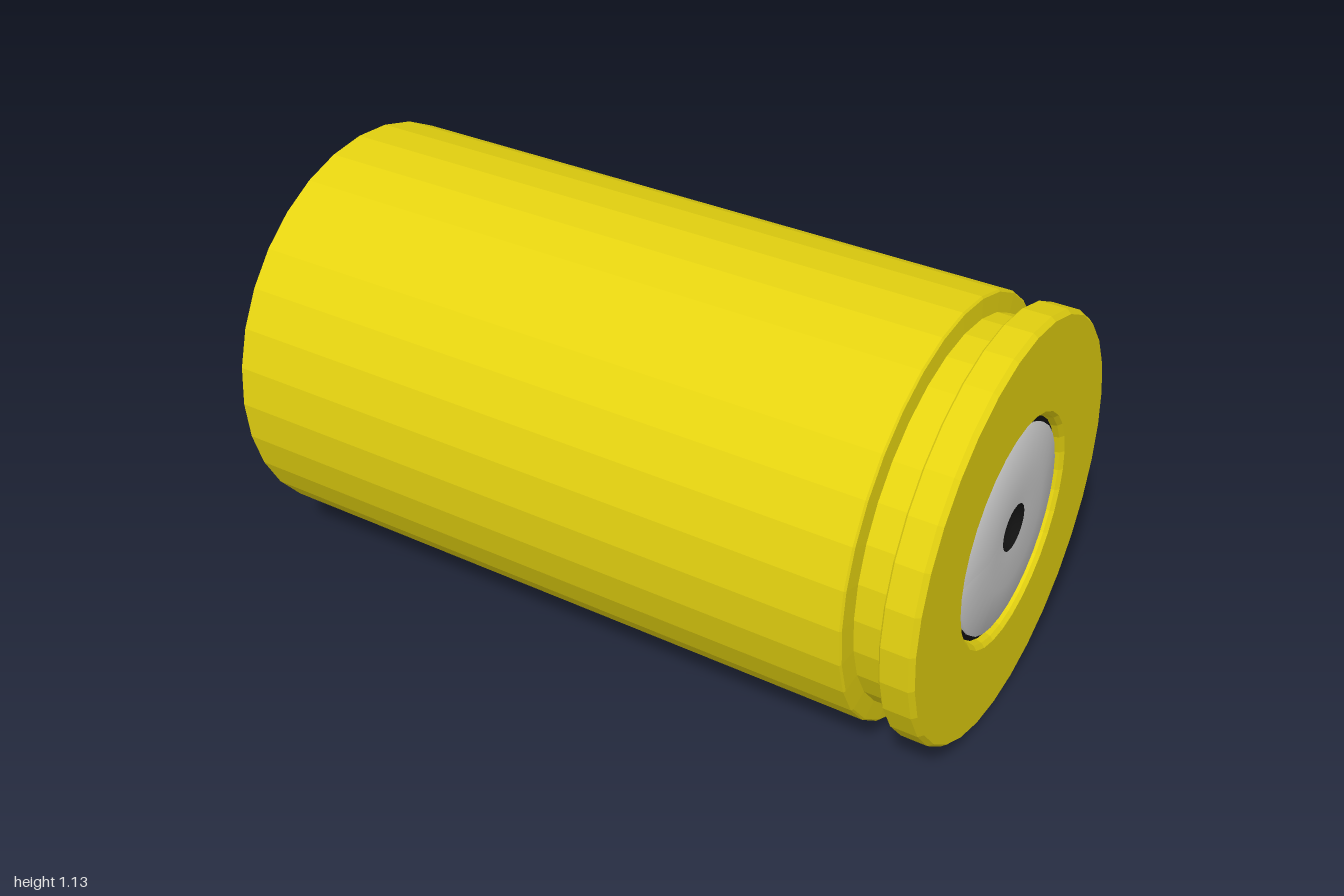
import * as THREE from 'three';

const SIDES = 32;
const AXIS_Y = 0.565;
const RADIUS = 0.565;

// Dent centre, slightly off the axis
const DENT = { y: 0.023, z: 0.015 };

const brass = new THREE.MeshStandardMaterial({ color: 0xe5d310, flatShading: true, side: THREE.DoubleSide });
const steel = new THREE.MeshStandardMaterial({ color: 0xcccccc, side: THREE.DoubleSide });
const black = new THREE.MeshStandardMaterial({ color: 0x111111, side: THREE.DoubleSide });

// Revolves [radius, x] points about the x axis
function turned(name, profile, material) {
  const points = profile.map(([r, x]) => new THREE.Vector2(r, x));
  const geometry = new THREE.LatheGeometry(points, SIDES);
  geometry.rotateZ(-Math.PI / 2);
  const mesh = new THREE.Mesh(geometry, material);
  mesh.name = name;
  return mesh;
}

// Slides the rings of a turned part towards the dent centre, fully so at the inner radius
function skewToDent(mesh, outer, inner) {
  const p = mesh.geometry.attributes.position;
  for (let i = 0; i < p.count; i++) {
    const r = Math.hypot(p.getY(i), p.getZ(i));
    const t = THREE.MathUtils.clamp((outer - r) / (outer - inner), 0, 1);
    p.setY(i, p.getY(i) + DENT.y * t);
    p.setZ(i, p.getZ(i) + DENT.z * t);
  }
  mesh.geometry.computeVertexNormals();
  return mesh;
}

export function createModel() {
  const model = new THREE.Group();
  model.name = 'casing';

  // Hollow body, extractor groove, rim and pocket in one profile
  const shell = turned('shell', [
    [0, 0.72], [0.5, 0.72], [0.55, 0.66], [0.553, -1],
    [RADIUS, -1], [RADIUS, 0.805], [0.56, 0.81],
    [0.51, 0.815], [0.51, 0.903],
    [0.56, 0.905], [RADIUS, 0.91], [RADIUS, 0.982], [0.555, 0.995],
    [0.31, 0.995], [0.3, 0.985], [0.292, 0.95], [0, 0.95],
  ], brass);

  // Dark gap around the primer
  const gap = turned('primerGap', [[0.292, 0.972], [0.276, 0.972]], black);

  // Slightly domed primer cup
  const primer = skewToDent(turned('primerCup', [
    [0.278, 0.955], [0.278, 0.982], [0.16, 1], [0.063, 0.997],
  ], steel), 0.278, 0.063);

  // Struck dent in the primer
  const dent = turned('primerDent', [
    [0.063, 0.997], [0.055, 0.98], [0.035, 0.966], [0, 0.96],
  ], black);
  dent.position.set(0, DENT.y, DENT.z);

  model.add(shell, gap, primer, dent);
  for (const part of model.children) part.position.y += AXIS_Y;
  return model;
}
